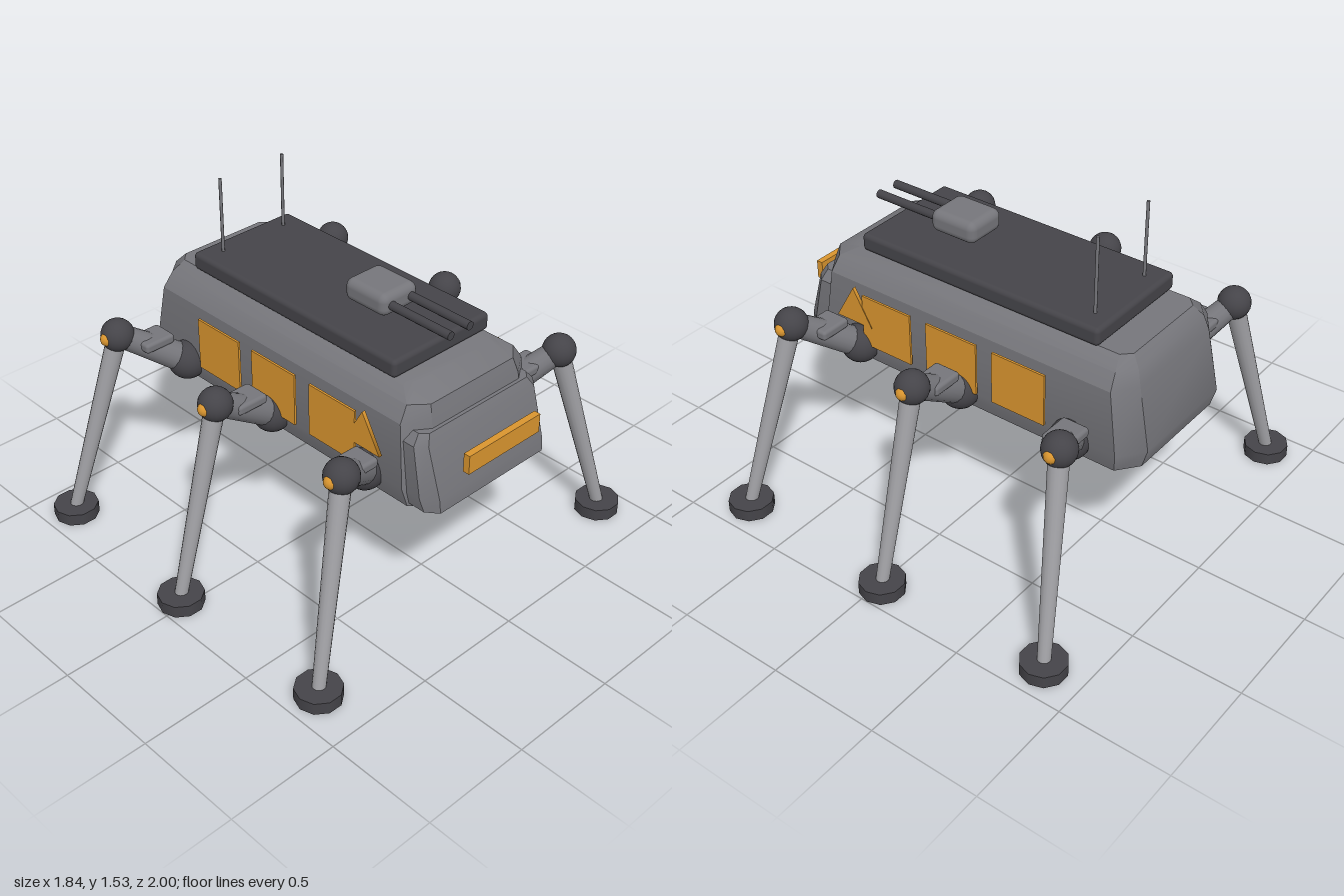
import * as THREE from 'three';
import { toCreasedNormals } from 'three/addons/utils/BufferGeometryUtils.js';
import { RoundedBoxGeometry } from 'three/addons/geometries/RoundedBoxGeometry.js';

const mat = (name, color) => {
  const m = new THREE.MeshStandardMaterial({ color });
  m.name = name;
  return m;
};

// Closed loft through chamfered rectangles stacked in y: [y, xBack, xFront, zHalf, chamferX, chamferZ]
function loft(levels) {
  const pos = [], idx = [], n = 8;
  for (const [y, x0, x1, z, cx, cz] of levels) {
    const ring = [[x1, -z + cz], [x1, z - cz], [x1 - cx, z], [x0 + cx, z],
      [x0, z - cz], [x0, -z + cz], [x0 + cx, -z], [x1 - cx, -z]];
    for (const [px, pz] of ring) pos.push(px, y, pz);
  }
  for (let j = 0; j < levels.length - 1; j++) {
    for (let i = 0; i < n; i++) {
      const a = j * n + i, b = j * n + (i + 1) % n;
      idx.push(a, a + n, b, b, a + n, b + n);
    }
  }
  const top = (levels.length - 1) * n;
  for (let i = 1; i < n - 1; i++) idx.push(0, i, i + 1, top, top + i + 1, top + i);
  const g = new THREE.BufferGeometry();
  g.setAttribute('position', new THREE.Float32BufferAttribute(pos, 3));
  g.setIndex(idx);
  return toCreasedNormals(g, 0.5);
}

export function createModel() {
  const root = new THREE.Group();
  root.name = 'sixLeggedWalker';
  const hull = mat('hullGrey', 0x76767b);
  const dark = mat('darkGrey', 0x454449);
  const light = mat('legGrey', 0xa0a0a4);
  const amber = mat('amber', 0xd9952f);

  const add = (parent, name, geo, material, x = 0, y = 0, z = 0) => {
    const m = new THREE.Mesh(geo, material);
    m.name = name;
    m.position.set(x, y, z);
    parent.add(m);
    return m;
  };
  // Tapered rod running from a to b
  const rod = (parent, name, a, b, ra, rb, material, sides = 16) => {
    const d = b.clone().sub(a);
    const m = add(parent, name, new THREE.CylinderGeometry(rb, ra, d.length(), sides), material);
    m.position.copy(a).addScaledVector(d, 0.5);
    m.quaternion.setFromUnitVectors(new THREE.Vector3(0, 1, 0), d.normalize());
    return m;
  };
  const V = (x, y, z) => new THREE.Vector3(x, y, z);

  // Hull and sloped nose
  add(root, 'hull', loft([
    [0.60, -0.80, 0.77, 0.28, 0.05, 0.05],
    [0.635, -0.845, 0.80, 0.345, 0.07, 0.09],
    [0.72, -0.87, 0.80, 0.367, 0.08, 0.11],
    [1.0, -0.815, 0.755, 0.348, 0.07, 0.10],
    [1.065, -0.795, 0.735, 0.305, 0.06, 0.07],
    [1.11, -0.755, 0.64, 0.25, 0.04, 0.04],
  ]), hull);
  add(root, 'nose', loft([
    [0.612, 0.5, 0.82, 0.29, 0.03, 0.03],
    [0.65, 0.5, 0.865, 0.34, 0.05, 0.04],
    [0.71, 0.5, 0.86, 0.352, 0.06, 0.05],
    [0.93, 0.5, 0.795, 0.345, 0.04, 0.04],
    [0.972, 0.5, 0.775, 0.31, 0.03, 0.03],
  ]), hull);

  // Roof deck, aerials and twin gun turret
  add(root, 'roofDeck', new RoundedBoxGeometry(1.2, 0.08, 0.54, 3, 0.02), dark, -0.027, 1.15, 0);
  for (const s of [1, -1]) {
    rod(root, 'aerial', V(-0.545, 1.18, s * 0.171), V(-0.545, 1.53, s * 0.171), 0.007, 0.007, hull, 8);
    rod(root, 'gunBarrel', V(0.3, 1.255, s * 0.054), V(0.66, 1.255, s * 0.054), 0.019, 0.019, dark, 12);
  }
  add(root, 'turret', new RoundedBoxGeometry(0.23, 0.1, 0.2, 4, 0.035), hull, 0.23, 1.255, 0);

  // Windscreen bar, side windows and triangular panes
  add(root, 'windscreen', new THREE.BoxGeometry(0.03, 0.085, 0.41), amber, 0.9, 0.857, 0);
  for (const s of [1, -1]) {
    for (const x of [-0.335, 0.005, 0.35]) {
      add(root, 'sideWindow', new THREE.BoxGeometry(0.26, 0.24, 0.01), amber, x, 0.858, s * 0.385);
    }
    const pane = add(root, 'trianglePane', new THREE.CylinderGeometry(0.11, 0.11, 0.016, 3), amber, 0.525, 0.89, s * 0.385);
    pane.rotation.x = -Math.PI / 2;
  }

  // Legs: [hipX, kneeX, footX, kneeZ, footZ]
  const legs = [
    [-0.58, -0.715, -0.825, 0.63, 0.86],
    [-0.027, -0.027, -0.027, 0.665, 0.9],
    [0.52, 0.66, 0.772, 0.63, 0.86],
  ];
  for (const s of [1, -1]) {
    for (const [hx, kx, fx, kz, fz] of legs) {
      const leg = new THREE.Group();
      leg.name = 'leg';
      root.add(leg);
      const hip = V(hx, 0.718, s * 0.37), knee = V(kx, 0.893, s * kz), foot = V(fx, 0.04, s * fz);
      add(leg, 'hipJoint', new THREE.SphereGeometry(0.087, 20, 14), dark, ...hip);
      rod(leg, 'upperLeg', hip, knee, 0.066, 0.05, hull);
      add(leg, 'thighPlate', new RoundedBoxGeometry(0.125, 0.045, 0.15, 2, 0.015), hull,
        (hx + kx) / 2, 0.845, s * (0.37 + kz) / 2);
      add(leg, 'kneeJoint', new THREE.SphereGeometry(0.073, 20, 14), dark, ...knee);
      add(leg, 'kneeLamp', new THREE.SphereGeometry(0.03, 14, 10), amber, kx, 0.893, s * (kz + 0.055));
      rod(leg, 'lowerLeg', foot, knee, 0.028, 0.044, light);
      add(leg, 'foot', new THREE.CylinderGeometry(0.1, 0.1, 0.055, 10), dark, fx, 0.0275, s * fz);
    }
  }
  return root;
}
